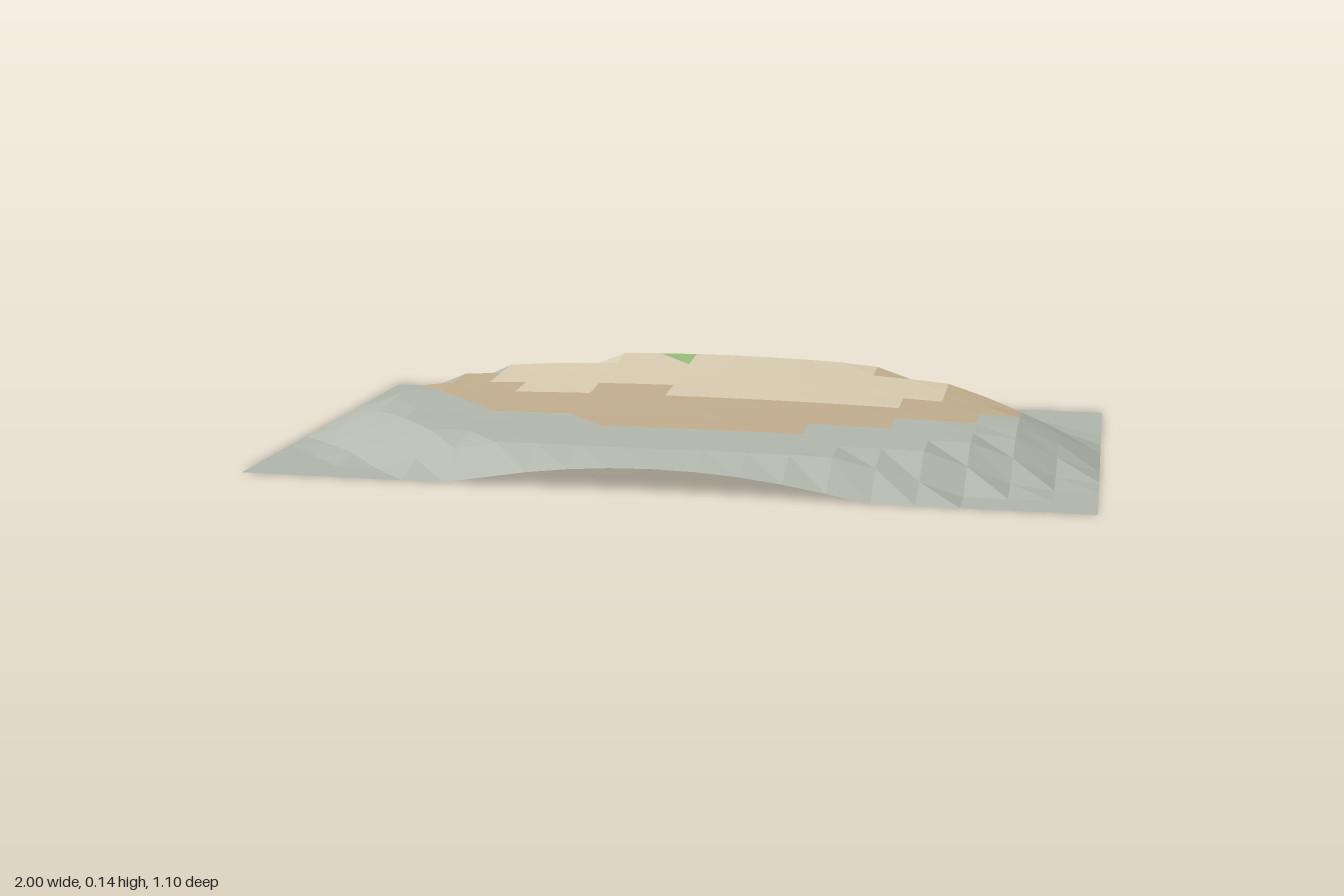
import * as THREE from 'three';

const STEP = 0.1, COLS = 20, ROWS = 11;

// Ground height: a plateau rising to the back, cut off by an elliptical shore
function height(x, z) {
  if (z < -0.5) return 0;
  const shore = 3 * (1 - x * x - (z / 0.627) ** 2);
  const rise = Math.pow(Math.max(0, (0.45 - z) / 0.9), 1.6);
  const plateau = 0.08 + 0.06 * rise * Math.max(0, 1 - 1.2 * (x + 0.05) ** 2);
  const notch = z < -0.4 && x < -0.35 && x > -0.65 ? 0.75 : 1; // broken back-left crest
  return plateau * notch * THREE.MathUtils.clamp(shore, 0, 1);
}

// Soil bands per row, back to front: [kind, from, to] in cells from the middle;
// a half cell takes in only one of the cell's two triangles
const bands = [
  [['soil', -2, -1.5], ['soil', -1, -0.5]],
  [['grass', -1.5, -1], ['sand', -4, 4], ['soil', -5, -4.5], ['soil', 4, 4.5]],
  [['sand', -6, 6], ['soil', 6, 6.5]],
  [['sand', -6, 6], ['soil', -7, 7.5]],
  [['sand', -5, -3], ['sand', -1, 5], ['soil', -7.5, 8]],
  [['soil', -6.5, 7]],
  [['soil', -5.5, 5]],
  [['soil', -2.5, 3]],
];

function kindAt(row, col) {
  const band = (bands[row] || []).find(([, from, to]) => col > from && col < to);
  return band ? band[0] : 'rock';
}

export function createModel() {
  const group = new THREE.Group();
  group.name = 'terrain';
  const colors = { rock: 0xb2b8ad, soil: 0xc2ae8f, sand: 0xd8cbb0, grass: 0x98bb7c };
  const points = { rock: [], soil: [], sand: [], grass: [] };

  const corner = (i, j) => {
    const x = (i - COLS / 2) * STEP, z = (j - ROWS / 2) * STEP;
    return [x, height(x, z), z];
  };

  // Two triangles per grid cell, sorted by ground kind
  for (let j = 0; j < ROWS; j++) {
    for (let i = 0; i < COLS; i++) {
      const a = corner(i, j), b = corner(i, j + 1);
      const c = corner(i + 1, j + 1), d = corner(i + 1, j);
      const col = i - COLS / 2;
      points[kindAt(j, col + 0.33)].push(...a, ...b, ...c);
      points[kindAt(j, col + 0.67)].push(...a, ...c, ...d);
    }
  }

  // One faceted mesh per ground kind
  for (const kind of Object.keys(points)) {
    const geometry = new THREE.BufferGeometry();
    geometry.setAttribute('position', new THREE.Float32BufferAttribute(points[kind], 3));
    geometry.computeVertexNormals();
    const mesh = new THREE.Mesh(geometry, new THREE.MeshStandardMaterial({
      color: colors[kind], flatShading: true, side: THREE.DoubleSide,
    }));
    mesh.name = kind + 'Ground';
    group.add(mesh);
  }
  return group;
}
